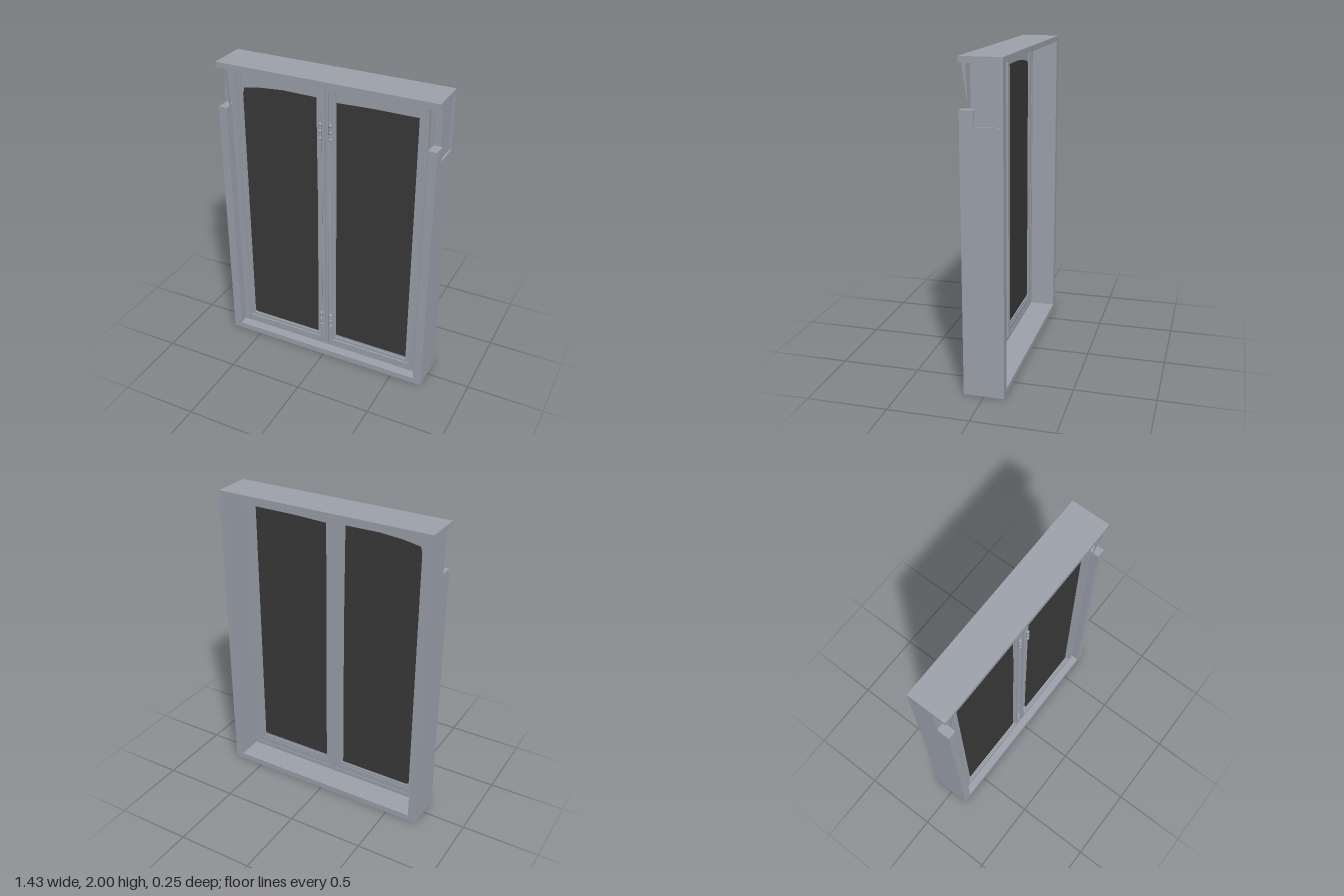
import * as THREE from 'three';

const frameMat = new THREE.MeshStandardMaterial({ color: 0x9da2ac });
frameMat.name = 'frame grey';
const glassMat = new THREE.MeshStandardMaterial({ color: 0x3a3a3a });
glassMat.name = 'dark glass';

function add(parent, name, geometry, material = frameMat) {
  const mesh = new THREE.Mesh(geometry, material);
  mesh.name = name;
  parent.add(mesh);
  return mesh;
}

// Box given by its limits on each axis
function block(parent, name, x0, x1, y0, y1, z0, z1) {
  const mesh = add(parent, name, new THREE.BoxGeometry(x1 - x0, y1 - y0, z1 - z0));
  mesh.position.set((x0 + x1) / 2, (y0 + y1) / 2, (z0 + z1) / 2);
  return mesh;
}

function outline(points) {
  return new THREE.Shape(points.map(([x, y]) => new THREE.Vector2(x, y)));
}

// Rectangular ring with a rectangular opening, extruded from z0 to z1
function ring(parent, name, [x0, x1, y0, y1], [a0, a1, b0, b1], z0, z1) {
  const shape = outline([[x0, y0], [x1, y0], [x1, y1], [x0, y1]]);
  shape.holes.push(new THREE.Path([[a0, b0], [a0, b1], [a1, b1], [a1, b0]].map(p => new THREE.Vector2(...p))));
  const geometry = new THREE.ExtrudeGeometry(shape, { depth: z1 - z0, bevelEnabled: false });
  return add(parent, name, geometry.translate(0, 0, z0));
}

// Profile drawn in (z, y), extruded between x0 and x1
function sideProfile(parent, name, points, x0, x1) {
  const geometry = new THREE.ExtrudeGeometry(outline(points), { depth: x1 - x0, bevelEnabled: false });
  return add(parent, name, geometry.rotateY(-Math.PI / 2).translate(x1, 0, 0));
}

export function createModel() {
  const model = new THREE.Group();
  model.name = 'window';

  // Outer casing: head, sill and notched jambs
  block(model, 'head', -0.715, 0.715, 1.965, 2, -0.125, 0.125);
  block(model, 'sill', -0.66, 0.66, 0, 0.04, -0.125, 0.125);
  const jamb = [[-0.125, 0], [0.125, 0], [0.125, 1.71], [0.042, 1.71], [0.042, 1.965], [-0.125, 1.965]];
  const skin = [[-0.125, 0], [0.125, 0], [0.125, 1.71], [0.042, 1.71], [0.042, 1.62],
    [-0.118, 1.62], [-0.118, 1.965], [-0.125, 1.965]];
  sideProfile(model, 'leftJamb', jamb, 0.66, 0.703);
  sideProfile(model, 'leftJambSkin', skin, 0.703, 0.715);
  sideProfile(model, 'rightJamb', jamb, -0.715, -0.66);

  // Tapered splinters hanging under the head in the jamb notches
  for (const s of [-1, 1]) {
    const x = s * 0.655;
    sideProfile(model, 'cornerSplinter', [[0.088, 1.71], [0.125, 1.965], [0.1, 1.965]], x - 0.006, x + 0.006);
  }

  // Fixed stop inside the casing and the central post
  ring(model, 'stop', [-0.66, 0.66, 0.04, 1.965], [-0.638, 0.638, 0.068, 1.945], 0.042, 0.062);
  block(model, 'centrePost', -0.022, 0.022, 0.068, 1.945, 0.035, 0.062);

  // Two sashes, each with a stepped frame and a dark pane
  for (const s of [-1, 1]) {
    const sash = new THREE.Group();
    sash.name = s < 0 ? 'rightSash' : 'leftSash';
    model.add(sash);
    const span = (a, b) => (s < 0 ? [-b, -a] : [a, b]);
    ring(sash, 'sashFrame', [...span(0.008, 0.638), 0.068, 1.945], [...span(0.045, 0.6), 0.108, 1.937], 0.046, 0.08);
    ring(sash, 'glazingBead', [...span(0.045, 0.6), 0.108, 1.937], [...span(0.06, 0.58), 0.128, 1.932], 0.05, 0.07);

    // Pale border around the dark pane
    const glass = s < 0
      ? [[-0.572, 0.145], [-0.555, 0.136], [-0.07, 0.136], [-0.066, 1.2], [-0.07, 1.868], [-0.3, 1.87], [-0.45, 1.858], [-0.562, 1.838], [-0.572, 1.8]]
      : [[0.064, 0.146], [0.576, 0.146], [0.576, 1.866], [0.3, 1.866], [0.064, 1.858]];
    const [x0, x1] = span(0.058, 0.582);
    block(sash, 'paneBorder', x0, x1, 0.126, 1.934, 0.056, 0.06);
    const pane = new THREE.ExtrudeGeometry(outline(glass), { depth: 0.008, bevelEnabled: false });
    add(sash, 'pane', pane.translate(0, 0, 0.054), glassMat);

    // Hinges and the thin rod between them, beside the central post
    for (const y of [0.27, 1.67]) {
      const barrel = add(sash, 'hinge', new THREE.CylinderGeometry(0.008, 0.008, 0.11, 10));
      barrel.position.set(s * 0.034, y, 0.084);
      for (const dy of [-0.045, 0, 0.045]) {
        const knob = add(sash, 'hingeKnob', new THREE.SphereGeometry(0.011, 10, 8));
        knob.position.set(s * 0.034, y + dy, 0.086);
      }
    }
    const rod = add(sash, 'rod', new THREE.CylinderGeometry(0.004, 0.004, 1.85, 8));
    rod.position.set(s * 0.022, 1.005, 0.08);

    // Raised lip along the outer stile
    const [l0, l1] = span(0.612, 0.622);
    block(sash, 'stileLip', l0, l1, 0.075, 1.94, 0.08, 0.086);
  }
  return model;
}
